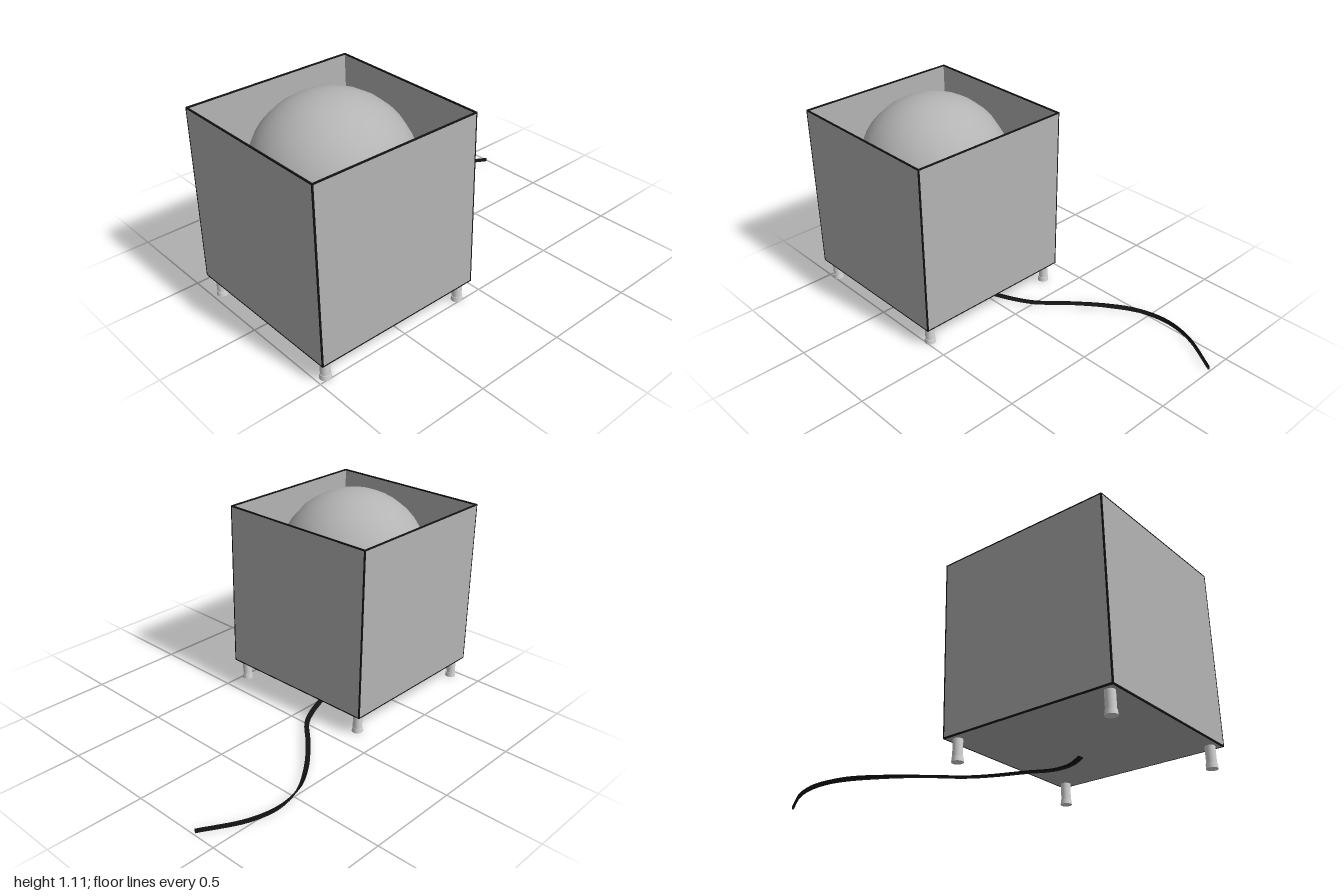
import * as THREE from 'three';

const gray = new THREE.MeshStandardMaterial({ name: 'panelGray', color: 0xb4b4b4 });
const light = new THREE.MeshStandardMaterial({ name: 'footGray', color: 0xd8d8d8 });
const black = new THREE.MeshStandardMaterial({ name: 'black', color: 0x141414 });

const S = 0.915, T = 0.007, H = S / 2;   // box side, wall thickness, half side
const CX = -0.543, CZ = 0.067, BASE = 0.11;

function add(parent, name, geometry, material, x = 0, y = 0, z = 0) {
  const mesh = new THREE.Mesh(geometry, material);
  mesh.name = name;
  mesh.position.set(x, y, z);
  parent.add(mesh);
  return mesh;
}

// Flat cord that lies down near the box and turns on edge towards its end
function cordGeometry() {
  const path = new THREE.CatmullRomCurve3([
    [-0.51, 0.052, 0.075], [-0.45, 0.032, 0.083], [-0.37, 0.019, 0.06], [-0.26, 0.017, 0],
    [-0.085, 0.02, -0.07], [0.02, 0.022, -0.13], [0.14, 0.021, -0.25], [0.30, 0.018, -0.39],
    [0.46, 0.016, -0.487], [0.62, 0.014, -0.518], [0.78, 0.013, -0.485], [0.99, 0.012, -0.37],
  ].map((p) => new THREE.Vector3(...p)));
  const steps = 64, pos = [], index = [];
  const up = new THREE.Vector3(0, 1, 0);
  for (let i = 0; i <= steps; i++) {
    const t = i / steps;
    const p = path.getPointAt(t), tan = path.getTangentAt(t);
    const side = new THREE.Vector3().crossVectors(tan, up).normalize();
    const nor = new THREE.Vector3().crossVectors(side, tan);
    const turn = THREE.MathUtils.smoothstep(t, 0.45, 0.85) * Math.PI / 2;
    side.applyAxisAngle(tan, turn);
    nor.applyAxisAngle(tan, turn);
    const w = THREE.MathUtils.lerp(0.014, 0.0095, t), h = 0.004;
    for (const [a, b] of [[-1, -1], [1, -1], [1, 1], [-1, 1]]) {
      const v = p.clone().addScaledVector(side, a * w).addScaledVector(nor, b * h);
      pos.push(v.x, v.y, v.z);
    }
    if (i < steps) {
      for (let k = 0; k < 4; k++) {
        const a = i * 4 + k, b = i * 4 + (k + 1) % 4;
        index.push(a, b, a + 4, b, b + 4, a + 4);
      }
    }
  }
  const e = steps * 4;
  index.push(0, 2, 1, 0, 3, 2, e, e + 1, e + 2, e, e + 2, e + 3);
  let g = new THREE.BufferGeometry();
  g.setAttribute('position', new THREE.Float32BufferAttribute(pos, 3));
  g.setIndex(index);
  g = g.toNonIndexed();
  g.computeVertexNormals();
  return g;
}

export function createModel() {
  const model = new THREE.Group();
  model.name = 'globeLampBox';

  const box = new THREE.Group();
  box.name = 'openBox';
  box.position.set(CX, BASE, CZ);
  model.add(box);

  // Floor and four walls, open at the top
  const L = S - 2 * T, m = H - T / 2;
  add(box, 'floor', new THREE.BoxGeometry(L, T, L), gray, 0, T / 2, 0);
  for (const s of [-1, 1]) {
    add(box, s > 0 ? 'frontWall' : 'backWall', new THREE.BoxGeometry(L, L, T), gray, 0, H, s * m);
    add(box, s > 0 ? 'leftWall' : 'rightWall', new THREE.BoxGeometry(T, L, L), gray, s * m, H, 0);
  }

  // Thin black frame along all twelve edges
  for (const a of [-1, 1]) {
    for (const b of [-1, 1]) {
      add(box, 'frameUpright', new THREE.BoxGeometry(T, L, T), black, a * m, H, b * m);
      add(box, 'frameRailAcross', new THREE.BoxGeometry(S, T, T), black, 0, H + a * m, b * m);
      add(box, 'frameRailDeep', new THREE.BoxGeometry(T, T, L), black, a * m, H + b * m, 0);
    }
  }

  // Globe on a round socket
  add(box, 'globe', new THREE.SphereGeometry(0.407, 20, 20), gray, 0, 0.588, 0);
  add(box, 'socket', new THREE.CylinderGeometry(0.22, 0.22, 0.25, 20), light, 0, T + 0.125, 0);

  // Feet: stem, wider pad, and a cap inside the box
  for (const x of [-0.41, 0.41]) {
    for (const z of [-0.41, 0.41]) {
      const foot = new THREE.Group();
      foot.name = 'foot';
      foot.position.set(x, 0, z);
      box.add(foot);
      add(foot, 'footStem', new THREE.CylinderGeometry(0.0245, 0.0245, 0.085, 16), light, 0, -0.0425, 0);
      add(foot, 'footPad', new THREE.CylinderGeometry(0.027, 0.029, 0.025, 16), light, 0, -0.0975, 0);
      add(foot, 'footCap', new THREE.CylinderGeometry(0.035, 0.035, 0.02, 16), light, 0, T + 0.01, 0);
    }
  }

  add(model, 'powerCord', cordGeometry(), black);
  return model;
}
